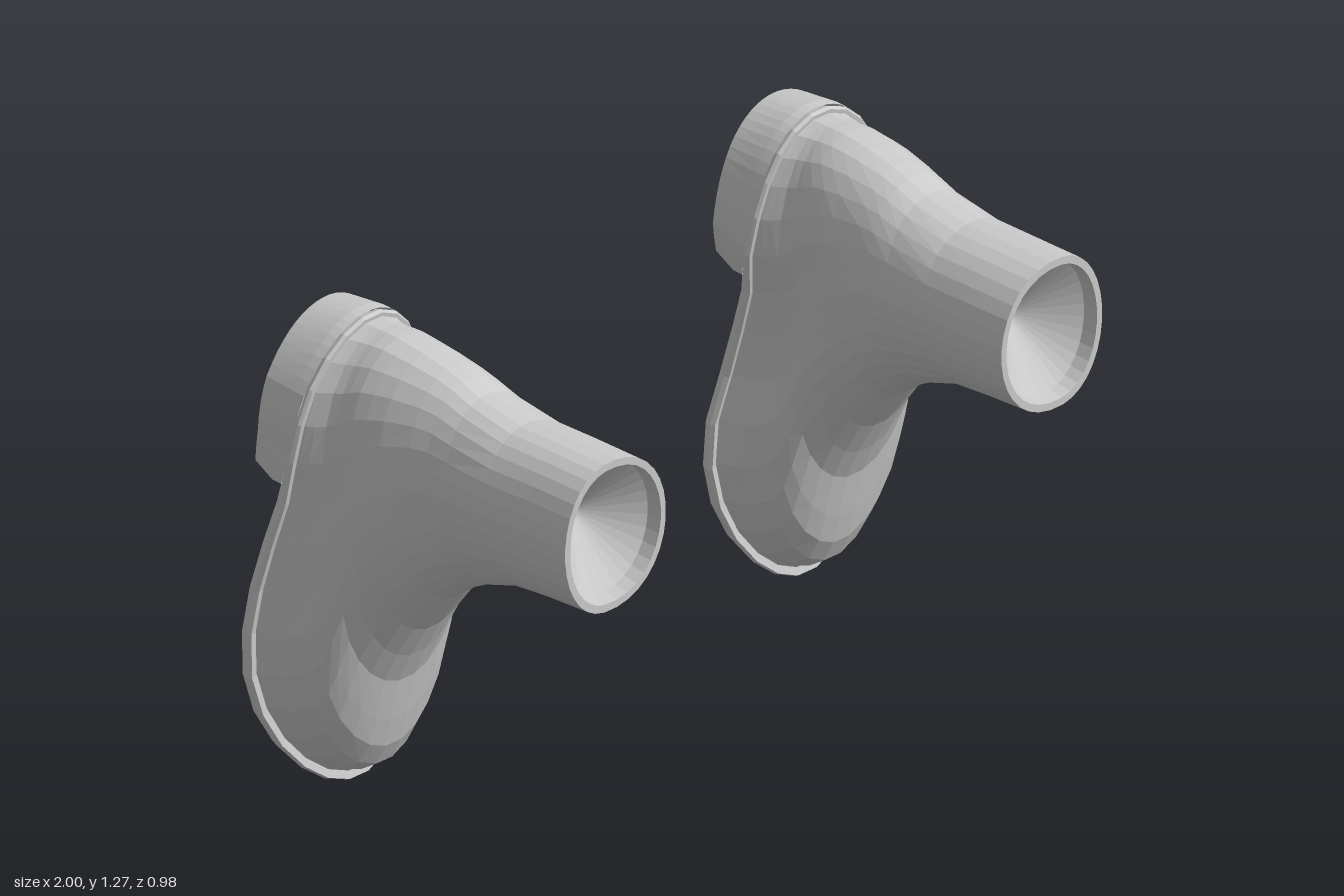
import * as THREE from 'three';

const N = 32; // points per loop
const material = new THREE.MeshStandardMaterial({ color: 0xcccccc, flatShading: true, side: THREE.DoubleSide });
const mix = THREE.MathUtils.lerp;
const CENTRE = 0.72, LENGTH = 1.27;

// Linear lookup of column c in a table sorted by its first column
function look(table, v, c = 1) {
  if (v <= table[0][0]) return table[0][c];
  for (let i = 1; i < table.length; i++) {
    const a = table[i - 1], b = table[i];
    if (v <= b[0]) return mix(a[c], b[c], (v - a[0]) / (b[0] - a[0]));
  }
  return table[table.length - 1][c];
}

// Sole outline: toe-to-heel fraction, outer and inner fullness
const OUTLINE = [
  [0, 0.33, 0.3], [0.08, 0.34, 0.305], [0.16, 0.336, 0.295], [0.28, 0.313, 0.263], [0.39, 0.281, 0.22],
  [0.47, 0.262, 0.183], [0.63, 0.243, 0.18], [0.75, 0.26, 0.23], [0.87, 0.294, 0.25], [1, 0.3, 0.28],
];
// Side curves of the sole: y, z
const SOLE_TOP = [[0, -0.37], [0.2, -0.43], [0.4, -0.46], [0.6, -0.437], [0.8, -0.385], [1, -0.352], [1.27, -0.322]];
const SOLE_BOTTOM = [[0, -0.4], [0.2, -0.465], [0.4, -0.492], [0.6, -0.47], [0.8, -0.415], [0.87, -0.4], [1, -0.37], [1.27, -0.345]];

// Upper: front z, y; back z, y; outer and inner half width; foot shape blend; foot scale; sole curve blend
const SECTIONS = [
  [0.49, 0.8, 0.49, 1.2, 0.145, 0.18, 0, 1, 0],
  [0.36, 0.787, 0.34, 1.193, 0.145, 0.18, 0, 1, 0],
  [0.23, 0.77, 0.2, 1.185, 0.15, 0.178, 0, 1, 0],
  [0.1, 0.72, 0.06, 1.205, 0.15, 0.175, 0, 1, 0],
  [0.03, 0.68, 0.0, 1.225, 0.15, 0.175, 0.05, 0.8, 0],
  [-0.03, 0.63, -0.05, 1.237, 0.16, 0.175, 0.1, 0.8, 0],
  [-0.12, 0.51, -0.13, 1.25, 0.18, 0.18, 0.25, 0.8, 0],
  [-0.17, 0.42, -0.18, 1.255, 0.19, 0.185, 0.4, 0.8, 0],
  [-0.21, 0.335, -0.22, 1.258, 0.2, 0.185, 0.55, 0.8, 0],
  [-0.225, 0.22, -0.25, 1.257, 0.2, 0.19, 0.75, 0.8, 0.05],
  [-0.238, 0.14, -0.27, 1.255, 0.2, 0.19, 0.9, 0.8, 0.1],
  [-0.25, 0.08, -0.29, 1.255, 0.2, 0.19, 1, 0.82, 0.25],
  [-0.29, 0.045, -0.305, 1.255, 0.2, 0.19, 1, 0.88, 0.5],
  [-0.34, 0.032, -0.32, 1.255, 0.2, 0.19, 1, 0.92, 0.8],
  [-0.36, 0.025, -0.322, 1.255, 0.2, 0.19, 1, 0.93, 1],
];

// One loop of the upper, running toe, outer side, heel, inner side
function sectionLoop([fz, fy, bz, by, outer, inner, blend, scale, sag]) {
  return Array.from({ length: N }, (_, j) => {
    const u = ((j + 0.5) / N) * Math.PI * 2, t = (1 - Math.cos(u)) / 2, s = Math.sin(u);
    const y = mix(fy, by, t);
    const round = (s > 0 ? outer : inner) * Math.sign(s) * Math.abs(s) ** 0.9;
    const foot = look(OUTLINE, t, s > 0 ? 1 : 2) * s * scale;
    return [CENTRE + mix(round, foot, blend), y, mix(mix(fz, bz, t), look(SOLE_TOP, y), sag)];
  });
}

// A loop on the sole outline, from angle u0 round the heel to its mirror
function soleLoop(scale, zAt, u0 = Math.PI / N) {
  return Array.from({ length: N }, (_, j) => {
    const u = mix(u0, Math.PI * 2 - u0, j / (N - 1)), t = (1 - Math.cos(u)) / 2, s = Math.sin(u);
    const y = LENGTH / 2 + (t - 0.5) * LENGTH * (1 - (1 - scale) * 0.4);
    return [CENTRE + look(OUTLINE, t, s > 0 ? 1 : 2) * s * scale, y, zAt(y)];
  });
}

// Skin a list of loops; side = -1 mirrors; cap closes the last loop with cross strips
function loft(name, loops, side, cap = false) {
  const index = [];
  const quad = (a, b, c, d) => index.push(...(side > 0 ? [a, c, b, b, c, d] : [a, b, c, b, d, c]));
  for (let i = 0; i < loops.length - 1; i++)
    for (let j = 0; j < N; j++) {
      const k = (j + 1) % N;
      quad(i * N + j, i * N + k, (i + 1) * N + j, (i + 1) * N + k);
    }
  const o = (loops.length - 1) * N;
  if (cap) for (let j = 0; j < N / 2 - 1; j++) quad(o + j, o + j + 1, o + N - 1 - j, o + N - 2 - j);
  const geometry = new THREE.BufferGeometry();
  const points = loops.flat().flatMap(([x, y, z]) => [x * side, y, z]);
  geometry.setAttribute('position', new THREE.Float32BufferAttribute(points, 3));
  geometry.setIndex(index);
  geometry.computeVertexNormals();
  const mesh = new THREE.Mesh(geometry, material);
  mesh.name = name;
  return mesh;
}

function createBoot(side) {
  const boot = new THREE.Group();
  boot.name = side > 0 ? 'leftBoot' : 'rightBoot';

  // Shaft, vamp and toe in one skin
  const loops = SECTIONS.map(sectionLoop);
  boot.add(loft('upper', loops, side));

  // Rim and shallow hollow in the mouth of the shaft
  const shrink = (k, z) => loops[0].map(([x, y]) => [mix(0.7, x, k), mix(1, y, k), z]);
  boot.add(loft('lining', [shrink(0, 0.33), shrink(0.87, 0.45), shrink(0.9, 0.49), loops[0]], side));

  // Curved sole with its welt
  const top = (y) => look(SOLE_TOP, y), bottom = (y) => look(SOLE_BOTTOM, y);
  boot.add(loft('sole', [soleLoop(0.88, top), soleLoop(0.98, top), soleLoop(1, (y) => mix(top(y), bottom(y), 0.4)),
    soleLoop(0.98, bottom)], side, true));

  // Heel block with a slanted breast
  const u0 = Math.acos(1 - 2 * 0.685);
  const base = soleLoop(1, (y) => bottom(y) + 0.005, u0);
  const step = base.map(([x, y, z]) => [x, y, z - 0.03]);
  const face = base.map(([x, y]) => [mix(CENTRE, x, 0.98), mix(0.895, 1.25, (y - 0.87) / 0.4), -0.488]);
  boot.add(loft('heel', [base, step, face], side, true));
  return boot;
}

export function createModel() {
  const model = new THREE.Group();
  model.name = 'bootPair';
  model.add(createBoot(1), createBoot(-1));
  return model;
}
